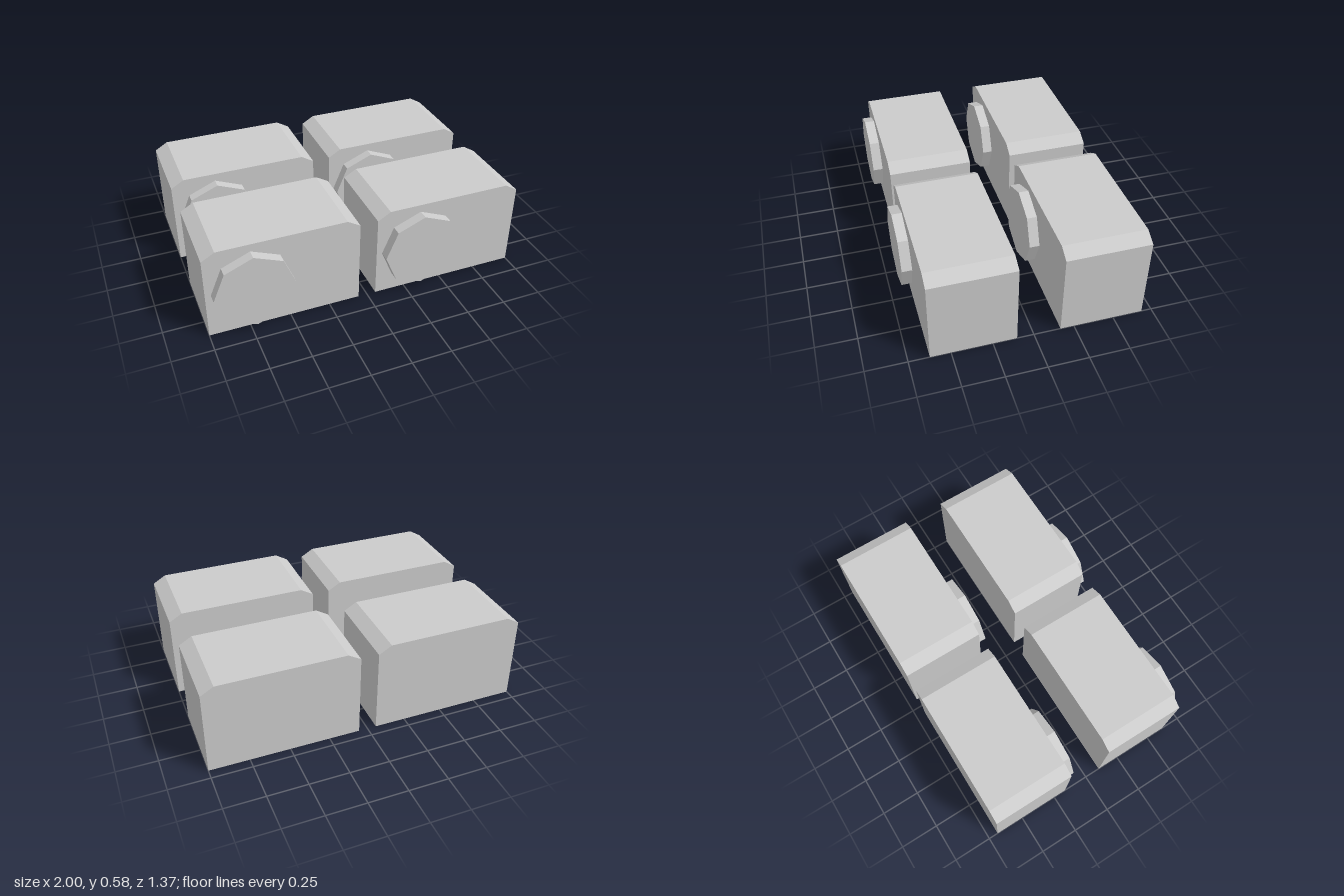
import * as THREE from 'three';

const WIDTH = 0.944, HEIGHT = 0.585, DEPTH = 0.521;
const CHAMFER_X = 0.08, CHAMFER_Y = 0.047;
const DISC_RADIUS = 0.244, DISC_DEPTH = 0.063;

export function createModel() {
  const model = new THREE.Group();
  model.name = 'machineBlocks';
  const material = new THREE.MeshStandardMaterial({ color: 0xcccccc, flatShading: true });

  // Body: front outline with chamfered top corners, extruded backwards to forwards
  const w = WIDTH / 2;
  const outline = new THREE.Shape([
    [-w, 0], [w, 0], [w, HEIGHT - CHAMFER_Y], [w - CHAMFER_X, HEIGHT],
    [-w + CHAMFER_X, HEIGHT], [-w, HEIGHT - CHAMFER_Y],
  ].map(([x, y]) => new THREE.Vector2(x, y)));
  const bodyGeometry = new THREE.ExtrudeGeometry(outline, { depth: DEPTH, bevelEnabled: false });

  // Octagonal disc facing the front, with a corner pointing up
  const discGeometry = new THREE.CylinderGeometry(DISC_RADIUS, DISC_RADIUS, DISC_DEPTH, 8);
  discGeometry.rotateX(Math.PI / 2);

  // Two rows of two identical units
  for (const [row, z] of [['front', 0.103], ['back', -0.687]]) {
    for (const [side, x] of [['Right', -1 + w], ['Left', 1 - w]]) {
      const unit = new THREE.Group();
      unit.name = `${row}${side}Unit`;
      unit.position.set(x, 0, z);

      const body = new THREE.Mesh(bodyGeometry, material);
      body.name = 'body';
      const disc = new THREE.Mesh(discGeometry, material);
      disc.name = 'frontDisc';
      disc.position.set(-0.193, 0.293, DEPTH + DISC_DEPTH / 2);

      unit.add(body, disc);
      model.add(unit);
    }
  }
  return model;
}
